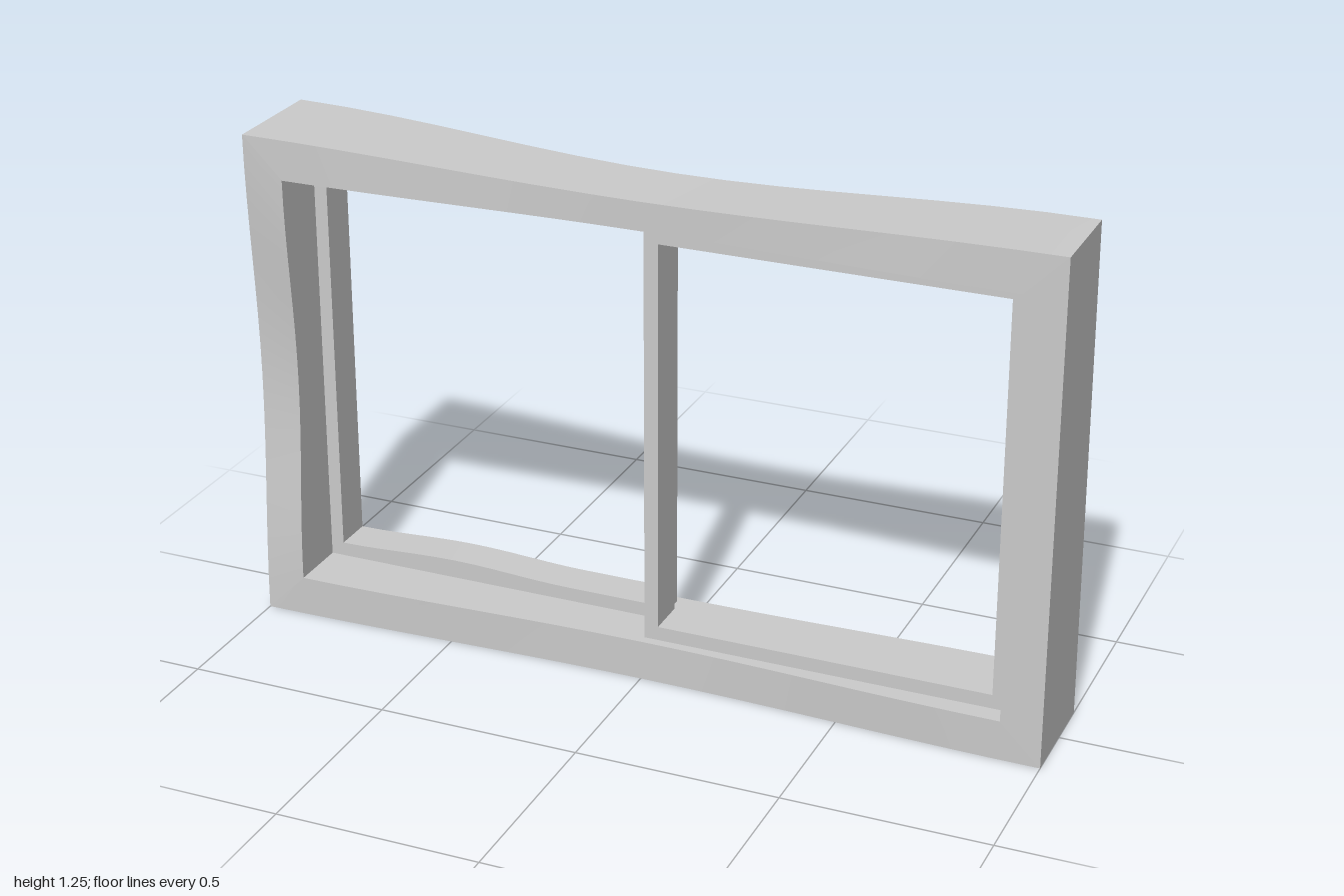
import * as THREE from 'three';
import { toCreasedNormals } from 'three/addons/utils/BufferGeometryUtils.js';

const H = 1.245, BORDER = 0.1, SEG = 16, BACK = 8;
const lerp = THREE.MathUtils.lerp;
const material = new THREE.MeshStandardMaterial({ color: 0xcccccc, side: THREE.DoubleSide });

// Members run anticlockwise. Each has the depth of its outer back edge at both
// ends and how far the front, outer edge, ridge and inner edge bow at mid-length.
const members = [
  { name: 'bottomRail', ends: [-0.13, -0.125], front: 0.026, outer: 0.005, ridge: 0.026, inner: 0.02, dip: 0,
    at: (s, d) => [lerp(-1 + d, 1 - d, s), d] },
  { name: 'leftJamb', ends: [-0.125, -0.093], front: 0, outer: 0, ridge: 0.015, inner: 0.01, dip: 0,
    at: (s, d) => [1 - d, lerp(d, H - d, s)] },
  { name: 'topRail', ends: [-0.093, -0.13], front: 0.026, outer: 0.032, ridge: 0.03, inner: 0.02, dip: 0.03,
    at: (s, d) => [lerp(1 - d, -1 + d, s), H - d] },
  { name: 'rightJamb', ends: [-0.13, -0.13], front: 0.028, outer: 0.07, ridge: 0.04, inner: 0.02, dip: 0,
    at: (s, d) => [-1 + d, lerp(H - d, d, s)] },
];

// Cross-section: flat front, straight reveal, rounded back
function section(m, s) {
  const bow = 0.5 - 0.5 * Math.cos(2 * Math.PI * s);
  const zFront = 0.15 - m.front * bow;
  const zOuter = lerp(m.ends[0], m.ends[1], s) + m.outer * bow;
  const zRidge = -0.15 + m.ridge * bow;
  const zInner = -0.14 + m.inner * bow;
  const profile = [[0, zFront], [BORDER, zFront]];
  for (let i = 0; i <= BACK; i++) {
    const t = 1 - i / BACK; // 0 outer edge, 1 inner edge
    const z = zOuter * (2 * t - 1) * (t - 1) + zRidge * 4 * t * (1 - t) + zInner * t * (2 * t - 1);
    profile.push([t * BORDER, z]);
  }
  return profile.map(([d, z]) => {
    const [x, y] = m.at(s, d);
    return [x, y - m.dip * bow * (1 - d / BORDER), z];
  });
}

// Mitred frame member lofted through its cross-sections
function frameMember(m) {
  const pos = [], index = [], count = BACK + 3;
  for (let i = 0; i <= SEG; i++) section(m, i / SEG).forEach((p) => pos.push(...p));
  for (let i = 0; i < SEG; i++) {
    for (let k = 0; k < count; k++) {
      const k1 = (k + 1) % count;
      const a = i * count + k, b = a + count, c = (i + 1) * count + k1, d = i * count + k1;
      index.push(a, b, c, a, c, d);
    }
  }
  const geo = new THREE.BufferGeometry();
  geo.setAttribute('position', new THREE.Float32BufferAttribute(pos, 3));
  geo.setIndex(index);
  const mesh = new THREE.Mesh(toCreasedNormals(geo, 0.3), material);
  mesh.name = m.name;
  return mesh;
}

// Sliding sash: a thin rectangle with an opening; its sill edge may be warped
function sash(name, x0, x1, hole0, hole1, z, warp) {
  const shape = new THREE.Shape();
  shape.moveTo(x0, 0.1).lineTo(x1, 0.1).lineTo(x1, 1.145).lineTo(x0, 1.145).closePath();
  const hole = new THREE.Path();
  hole.moveTo(hole1, 0.135).lineTo(hole1, 1.11).lineTo(hole0, 1.11).lineTo(hole0, 0.135);
  for (let i = 1; i < 16; i++) {
    const t = i / 16;
    const rise = t < 0.75 ? 0.5 - 0.5 * Math.cos(2 * Math.PI * t / 0.75) : 0;
    hole.lineTo(lerp(hole0, hole1, t), 0.135 + warp * rise);
  }
  hole.closePath();
  shape.holes.push(hole);
  const geo = new THREE.ExtrudeGeometry(shape, { depth: 0.1, bevelEnabled: false });
  geo.translate(0, 0, z);
  const mesh = new THREE.Mesh(toCreasedNormals(geo, 0.3), material);
  mesh.name = name;
  return mesh;
}

export function createModel() {
  const model = new THREE.Group();
  model.name = 'slidingWindow';

  const frame = new THREE.Group();
  frame.name = 'outerFrame';
  members.forEach((m) => frame.add(frameMember(m)));
  model.add(frame);

  // Left sash slides in the front track, right sash in the rear one
  model.add(sash('leftSash', 0, 0.9, 0.035, 0.865, 0, 0));
  model.add(sash('rightSash', -0.9, 0, -0.867, -0.035, -0.1, 0.012));
  return model;
}
